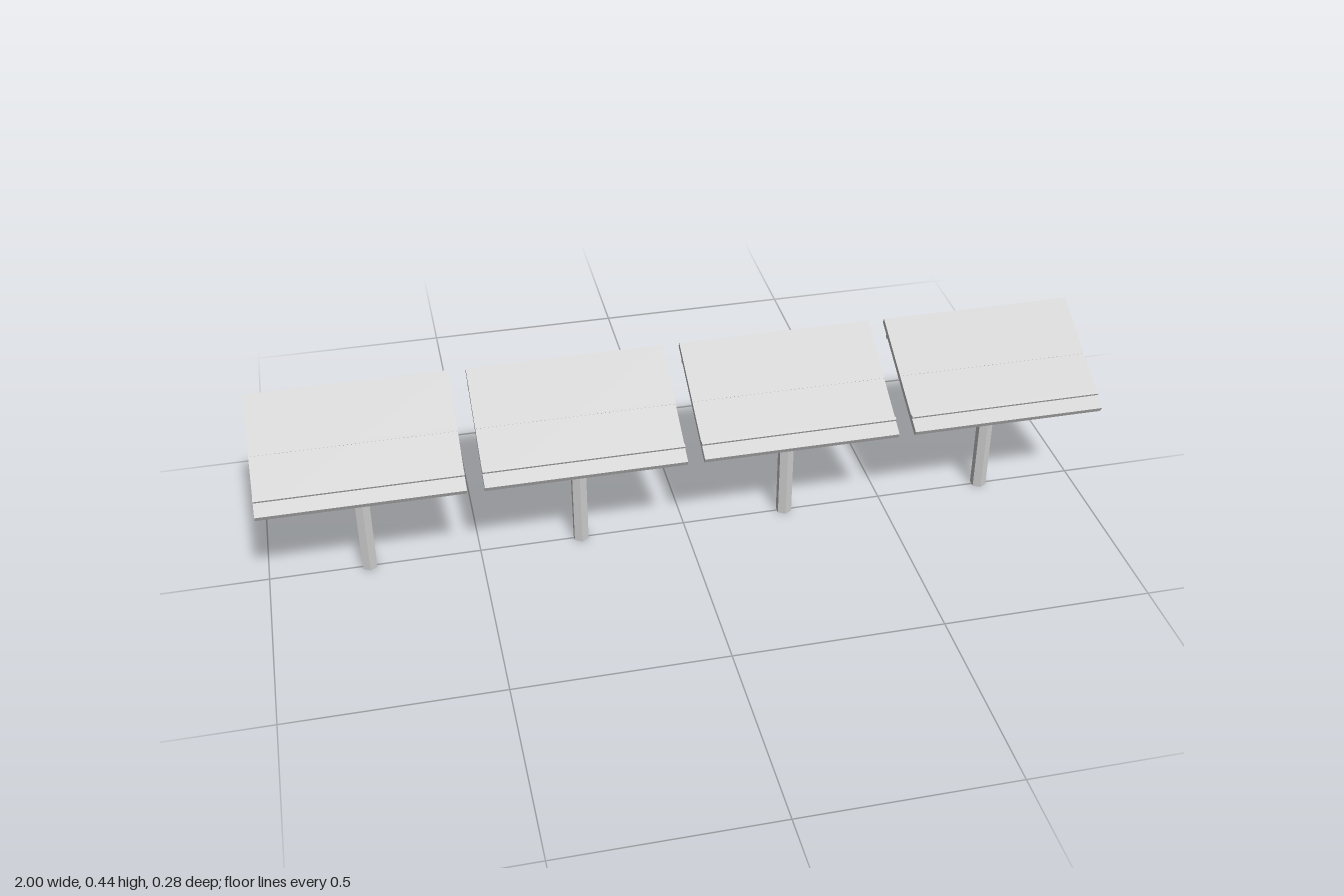
import * as THREE from 'three';

export function createModel() {
  const model = new THREE.Group();
  const grey = new THREE.MeshStandardMaterial({ color: 0xcccccc, flatShading: true });
  grey.name = 'light grey metal';

  const width = 0.47;
  const postGeometry = new THREE.CylinderGeometry(0.0195, 0.0195, 0.314, 6);
  const panelGeometry = new THREE.BoxGeometry(width, 0.0148, 0.313);
  const railGeometry = new THREE.BoxGeometry(width, 0.0156, 0.0088);

  const add = (parent, name, geometry, x, y, z) => {
    const mesh = new THREE.Mesh(geometry, grey);
    mesh.name = name;
    mesh.position.set(x, y, z);
    parent.add(mesh);
  };

  // Four identical solar tables in a row
  for (let i = 0; i < 4; i++) {
    const table = new THREE.Group();
    table.name = 'solarTable';
    table.position.x = (i - 1.5) * 0.51;

    // Hexagonal post, just short of the panel
    add(table, 'post', postGeometry, 0, 0.157, 0);

    // Tilted panel with its three cross rails, low edge to the front
    const tilt = new THREE.Group();
    tilt.name = 'tiltedPanel';
    tilt.position.y = 0.354;
    tilt.rotation.x = 0.5;
    add(tilt, 'panel', panelGeometry, 0, 0, 0);
    for (const side of [-1, 0, 1]) {
      add(tilt, 'rail', railGeometry, 0, side * 0.006, side * 0.116);
    }
    table.add(tilt);
    model.add(table);
  }
  return model;
}
